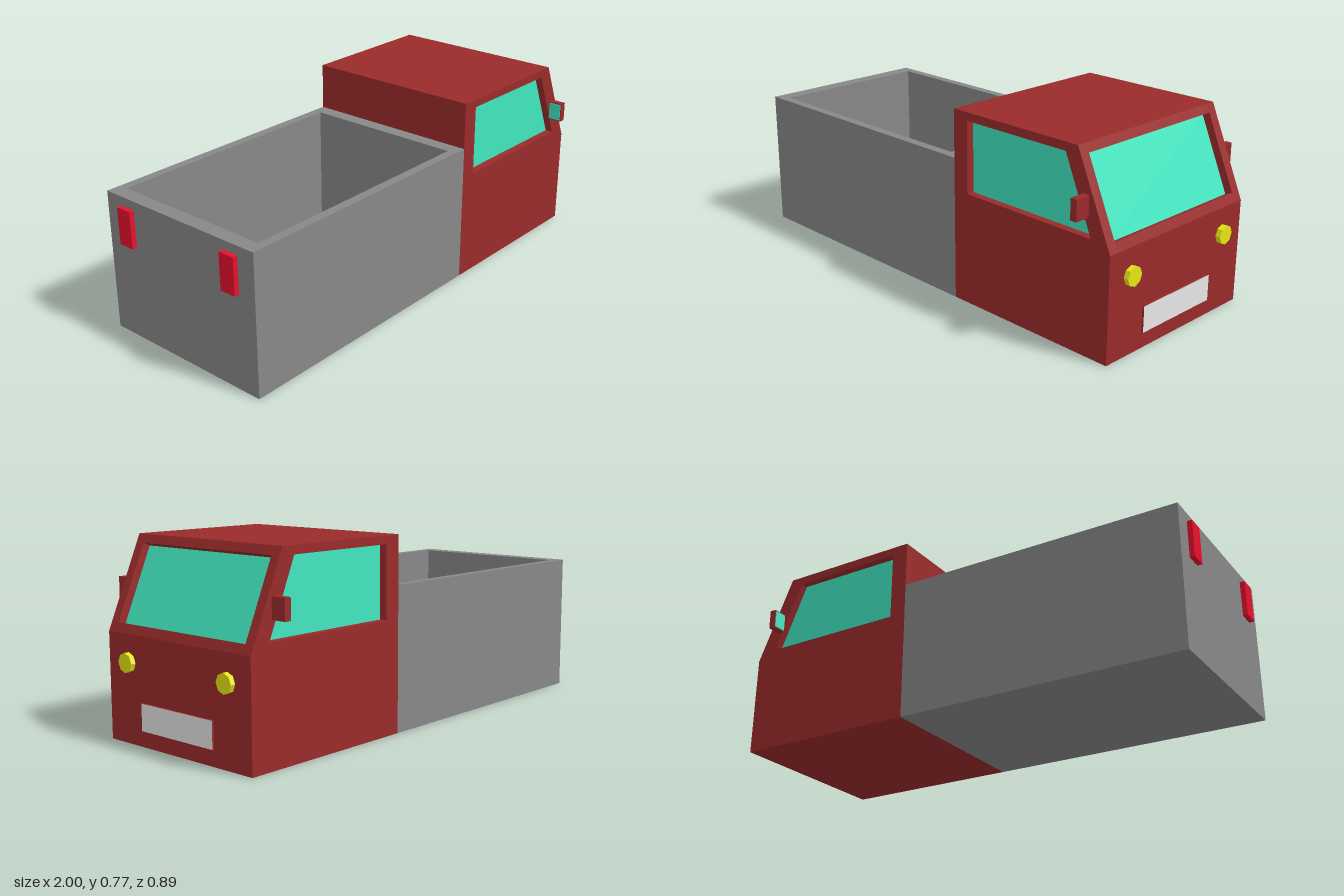
import * as THREE from 'three';

const mat = (name, color) => {
  const m = new THREE.MeshStandardMaterial({ color });
  m.name = name;
  return m;
};

export function createModel() {
  const red = mat('cab red', 0x9b2b2b);
  const grey = mat('bed grey', 0x888888);
  const glass = mat('turquoise glass', 0x4affd5);
  const yellow = mat('lamp yellow', 0xfafa14);
  const tailRed = mat('tail light red', 0xe8112d);
  const white = mat('plate white', 0xfdfdfd);

  const truck = new THREE.Group();
  truck.name = 'truck';

  const add = (name, geometry, material, x = 0, y = 0, z = 0) => {
    const mesh = new THREE.Mesh(geometry, material);
    mesh.name = name;
    mesh.position.set(x, y, z);
    truck.add(mesh);
    return mesh;
  };
  const box = (name, material, [x0, x1], [y0, y1], [z0, z1]) =>
    add(name, new THREE.BoxGeometry(x1 - x0, y1 - y0, z1 - z0), material,
      (x0 + x1) / 2, (y0 + y1) / 2, (z0 + z1) / 2);
  const polygon = (pts) => new THREE.Shape(pts.map(([x, y]) => new THREE.Vector2(x, y)));
  const extrude = (shape, depth) => new THREE.ExtrudeGeometry(shape, { depth, bevelEnabled: false });

  const W = 0.383; // half width of the body
  const inner = 0.343; // half width of the windscreen opening

  // Point on the sloped cab front: t along the slope, d deep into it
  const low = new THREE.Vector2(0.98, 0.415);
  const high = new THREE.Vector2(0.825, 0.77);
  const slope = high.clone().sub(low).normalize();
  const onSlope = (t, d) => [low.x + slope.x * t - slope.y * d, low.y + slope.y * t + slope.x * d];
  const sill = 0.038, header = 0.352, recess = 0.032, back = 0.036;

  // Cab core, notched for the windscreen
  const core = polygon([
    [0.21, 0], [0.98, 0], [low.x, low.y],
    onSlope(sill, 0), onSlope(sill, back), onSlope(header, back), onSlope(header, 0),
    [high.x, high.y], [0.21, 0.77],
  ]);
  add('cabCore', extrude(core, 2 * inner), red, 0, 0, -inner);

  // Windscreen
  const screen = polygon([
    onSlope(sill, back), onSlope(sill, recess), onSlope(header, recess), onSlope(header, back),
  ]);
  add('windscreen', extrude(screen, 2 * inner), glass, 0, 0, -inner);

  // Cab sides with window openings, and recessed side glass
  const windowPts = [[0.28, 0.45], [0.893, 0.45], [0.77, 0.737], [0.28, 0.737]];
  const side = polygon([[0.21, 0], [0.98, 0], [low.x, low.y], [high.x, high.y], [0.21, 0.77]]);
  side.holes.push(polygon(windowPts));
  const sideGeo = extrude(side, W - inner);
  const paneGeo = extrude(polygon(windowPts), 0.008);

  // Cargo bed: open rectangular tub with a floor
  const bed = polygon([[-0.98, -W], [0.21, -W], [0.21, W], [-0.98, W]]);
  bed.holes.push(polygon([[-0.92, -0.345], [0.15, -0.345], [0.15, 0.345], [-0.92, 0.345]]));
  add('bedWalls', extrude(bed, 0.577).rotateX(-Math.PI / 2), grey);
  box('bedFloor', grey, [-0.92, 0.15], [0, 0.04], [-0.345, 0.345]);

  // Number plate: only its front face is white
  add('numberPlate', new THREE.BoxGeometry(0.008, 0.104, 0.386),
    [white, red, red, red, red, red], 0.984, 0.115, 0);

  // Parts repeated on both sides
  const lampGeo = new THREE.CylinderGeometry(0.038, 0.038, 0.02, 8).toNonIndexed().rotateZ(-Math.PI / 2);
  lampGeo.computeVertexNormals();
  for (const s of [1, -1]) {
    const span = (a, b) => (s > 0 ? [a, b] : [-b, -a]);
    add('cabSide', sideGeo, red, 0, 0, s > 0 ? inner : -W);
    add('sideWindow', paneGeo, glass, 0, 0, s > 0 ? inner : -inner - 0.008);
    add('headlight', lampGeo, yellow, 0.99, 0.31, s * 0.268);
    box('tailLight', tailRed, [-1, -0.98], [0.39, 0.54], span(0.235, 0.305));
    box('mirrorHousing', red, [0.852, 0.88], [0.525, 0.606], span(W, 0.445));
    box('mirrorGlass', glass, [0.849, 0.852], [0.53, 0.601], span(W + 0.004, 0.441));
  }
  return truck;
}
